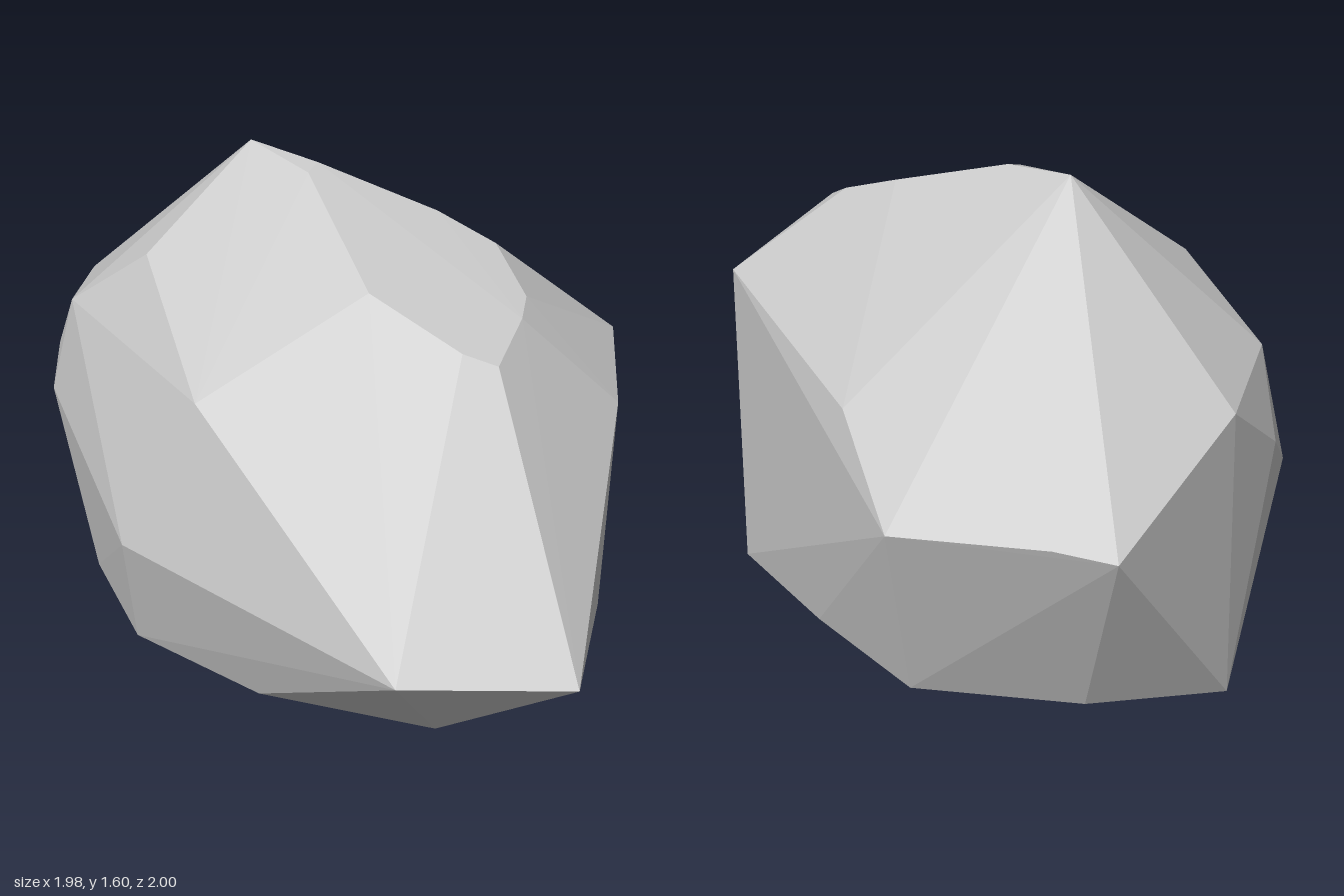
import * as THREE from 'three';
import { ConvexGeometry } from 'three/addons/geometries/ConvexGeometry.js';

// Corners of the faceted boulder, grouped by height
const base = [
  [0.91, 0, 0.31], [0.91, 0, -0.16], [0.47, 0, -0.49], [0, 0, -0.79], [-0.55, 0, -0.67],
  [-0.935, 0, -0.42], [-0.83, 0, 0], [-0.58, 0, 0.37], [-0.1, 0, 0.59], [0.5, 0, 0.64],
];
const waist = [
  [0.99, 0.42, 0.885], [0.44, 0.415, 1], [-0.575, 0.465, 0.51], [-0.98, 0.67, -0.06],
  [-0.99, 0.78, -0.18], [-0.74, 0.635, -0.9], [-0.54, 0.66, -0.935], [-0.02, 0.64, -1],
];
const shoulder = [
  [0.96, 0.95, 0.05], [0.9, 1.08, -0.2], [0.24, 0.91, -0.74], [-0.93, 0.96, -0.41],
  [-0.89, 1.04, -0.04], [-0.32, 1.03, 0.49], [-0.6, 1.29, 0.04],
];
const crown = [
  [-0.32, 1.595, -0.25], [-0.08, 1.575, -0.18], [-0.1, 1.56, -0.13], [0.32, 1.46, -0.155],
  [0.52, 1.39, -0.11], [0.65, 1.3, 0.05], [0.653, 1.27, 0.14], [0.615, 1.2, 0.33],
  [0.5, 1.23, 0.33], [0.18, 1.35, 0.23],
];

export function createModel() {
  const group = new THREE.Group();
  group.name = 'rock';

  const stone = new THREE.MeshStandardMaterial({ color: 0xc6c6c6 });
  stone.name = 'pale stone grey';

  // One convex, hard-edged block of stone
  const points = [...base, ...waist, ...shoulder, ...crown].map((p) => new THREE.Vector3(...p));
  const boulder = new THREE.Mesh(new ConvexGeometry(points), stone);
  boulder.name = 'boulder';
  group.add(boulder);

  return group;
}
